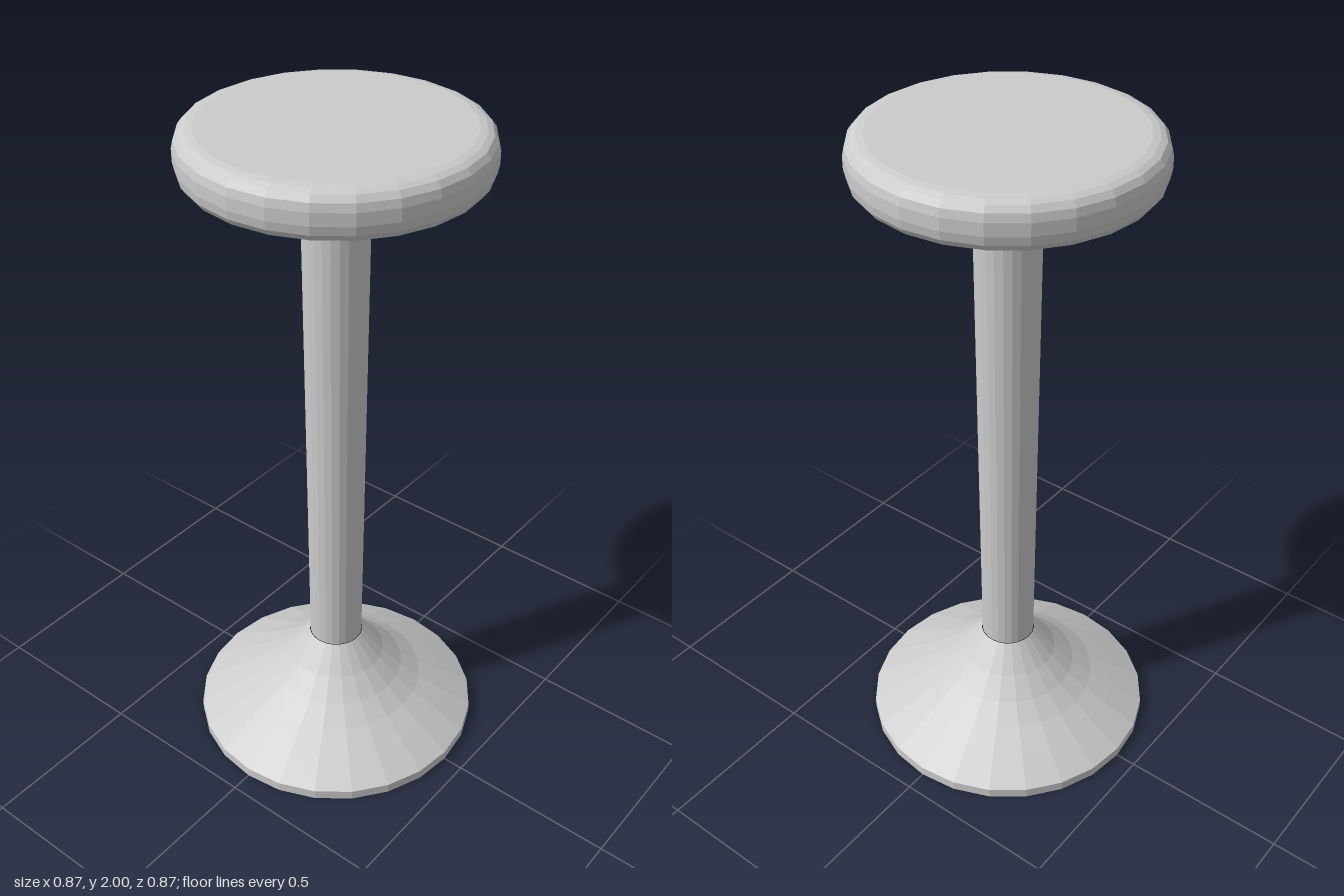
import * as THREE from 'three';

const SIDES = 24;

// Faceted solid of revolution from [radius, height] pairs, listed bottom to top
function turned(name, profile, side = THREE.FrontSide) {
  const points = profile.map(([r, y]) => new THREE.Vector2(r, y));
  const material = new THREE.MeshStandardMaterial({ color: 0xcccccc, flatShading: true, side });
  const mesh = new THREE.Mesh(new THREE.LatheGeometry(points, SIDES), material);
  mesh.name = name;
  return mesh;
}

export function createModel() {
  const stool = new THREE.Group();
  stool.name = 'stool';

  // Hollow flared foot, open underneath
  stool.add(turned('base', [
    [0.437, 0], [0.437, 0.03], [0.34, 0.09], [0.27, 0.132],
    [0.21, 0.177], [0.15, 0.233], [0.083, 0.31],
  ], THREE.DoubleSide));

  // Pole, slightly wider at the top
  stool.add(turned('pole', [[0, 0.31], [0.081, 0.31], [0.094, 1.87]]));

  // Round cushion with softened edges
  stool.add(turned('seat', [
    [0, 1.865], [0.375, 1.865], [0.395, 1.872], [0.408, 1.89], [0.413, 1.915],
    [0.413, 1.95], [0.408, 1.972], [0.396, 1.988], [0.38, 1.996], [0.36, 2], [0, 2],
  ]));

  return stool;
}
